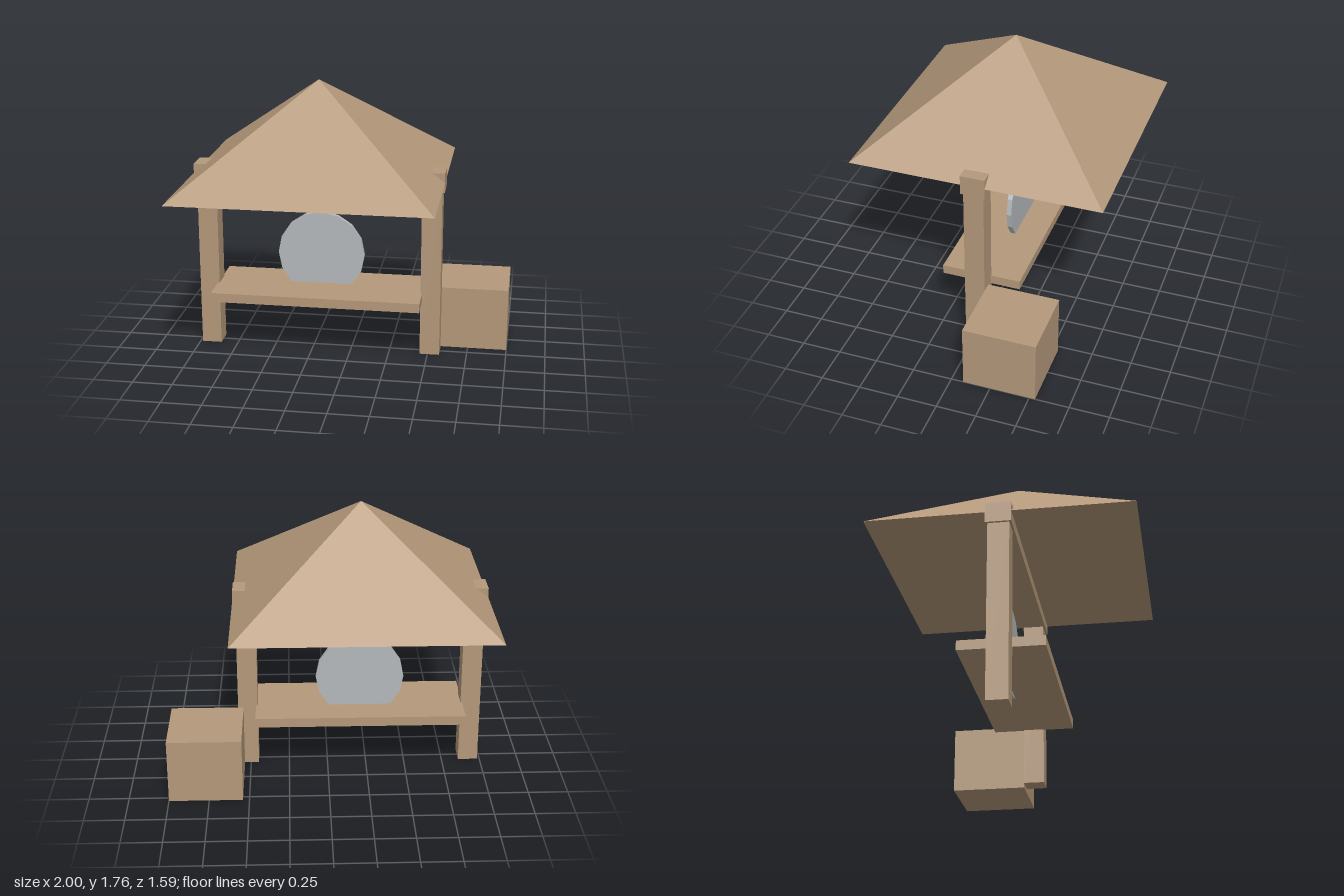
import * as THREE from 'three';

export function createModel() {
  const model = new THREE.Group();
  model.name = 'roofedStall';

  const wood = new THREE.MeshStandardMaterial({ color: 0xb4987a });
  wood.name = 'wood';
  const stone = new THREE.MeshStandardMaterial({ color: 0xb3b8bb });
  stone.name = 'greyStone';

  const cx = -0.205; // centre line of the stall

  function add(name, geometry, material, x, y, z) {
    const mesh = new THREE.Mesh(geometry, material);
    mesh.name = name;
    mesh.position.set(x, y, z);
    model.add(mesh);
    return mesh;
  }
  const box = (name, w, h, d, x, y, z) =>
    add(name, new THREE.BoxGeometry(w, h, d), wood, x, y, z);

  // Posts, one on each side
  for (const side of [-1, 1]) {
    box(side > 0 ? 'leftPost' : 'rightPost', 0.126, 1.1, 0.128, cx + side * 0.717, 0.55, 0);
  }

  // Cross beam on the posts, poking out through the eaves
  box('crossBeam', 1.59, 0.125, 0.154, cx, 1.153, 0);

  // Bench board
  box('bench', 1.33, 0.06, 0.51, cx, 0.387, 0);

  // Crate beside the left post
  box('crate', 0.46, 0.41, 0.46, 0.77, 0.205, -0.307);

  // Four-sided pyramid roof
  const roof = new THREE.ConeGeometry(0.795 * Math.SQRT2, 0.61, 4, 1);
  roof.rotateY(Math.PI / 4);
  const roofFlat = roof.toNonIndexed();
  roofFlat.computeVertexNormals();
  add('roof', roofFlat, wood, cx, 1.46, 0);

  // Upright grindstone set into the bench
  const wheel = new THREE.CylinderGeometry(0.28, 0.28, 0.031, 16).toNonIndexed();
  wheel.computeVertexNormals();
  wheel.rotateX(Math.PI / 2);
  add('grindstone', wheel, stone, cx, 0.615, -0.0505);

  return model;
}
